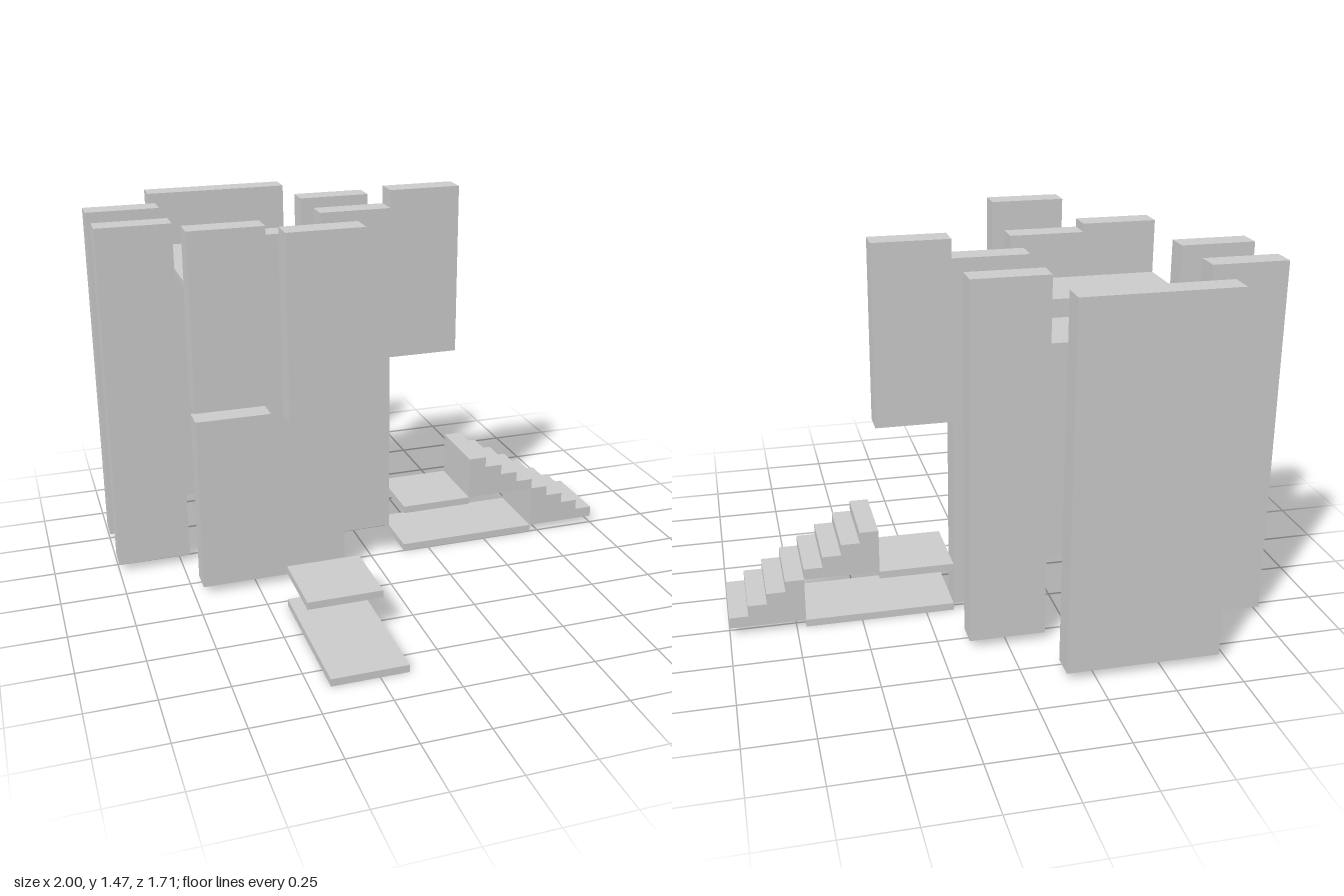
import * as THREE from 'three';

const U = 2 / 7;          // plan grid cell
const T = U / 3;          // wall thickness
const F = 0.029;          // floor plate thickness
const H = 0.686;          // wall panel height
const RISE = 0.0429;      // stair riser
const STEPS = 4;

const material = new THREE.MeshStandardMaterial({ color: 0xcccccc, flatShading: true });
const shellMaterial = new THREE.MeshStandardMaterial({
  color: 0xcccccc, flatShading: true, side: THREE.DoubleSide,
});

export function createModel() {
  const group = new THREE.Group();

  // Box between two corners
  const block = (name, x0, x1, y0, y1, z0, z1) => {
    const mesh = new THREE.Mesh(new THREE.BoxGeometry(x1 - x0, y1 - y0, z1 - z0), material);
    mesh.position.set((x0 + x1) / 2, (y0 + y1) / 2, (z0 + z1) / 2);
    mesh.name = name;
    group.add(mesh);
  };
  // Walls and plates are placed on the plan grid in units of U
  const wall = (name, i0, i1, k, y0, y1) =>
    block(name, (i0 - 0.5) * U, (i1 - 0.5) * U, y0, y1, k * U, k * U + T);
  const plate = (name, i0, i1, k0, k1, y) =>
    block(name, (i0 - 0.5) * U, (i1 - 0.5) * U, y, y + F, k0 * U, k1 * U);

  const top = F + 2 * H;

  // Full height walls
  wall('backWall', -2, 0, -3, F, top);
  for (const k of [-2, -1]) {
    wall('rightSideWall', -3, -2, k, F, top);
    wall('leftSideWall', 0, 1, k, F, top);
  }
  wall('frontWall', -1, 0, 0, F, top);

  // Split front wall, with a narrow gap between its panels
  wall('lowerFrontPanel', -2, -1, 0, F, F + H);
  wall('upperFrontPanel', -2, -1, 0, 0.75, 1.433);

  // Raised panels
  wall('floatingFrontPanel', -1, 0, 1, 0.786, 1.471);
  wall('floatingSidePanel', 1, 2, -1, 0.786, 1.471);

  // Upper floor, with one lower cell
  plate('upperFloorFront', -2, 0, -1, 0, 1.2);
  plate('upperFloorBack', -2, -1, -2, -1, 1.2);
  plate('sunkenFloor', -1, 0, -2, -1, 1.13);

  // Ground plates and low landings
  plate('frontGroundPlate', -1, 0, 1, 3, 0);
  plate('frontLanding', -1, 0, 1, 2, 0.14);
  plate('stairGroundPlate', 1, 3, -1, 0, 0);
  plate('stairLanding', 1, 2, -1, 0, F + STEPS * RISE - F);

  // Stair flights: stepped shells open underneath
  const flight = (name, x0, y0) => {
    const stair = new THREE.Group();
    stair.name = name;
    const run = U / STEPS;
    const outline = [[0, 0], [0, STEPS * RISE]];
    for (let s = 0; s < STEPS; s++) {
      const x = (s + 1) * run;
      outline.push([x, (STEPS - s) * RISE], [x, (STEPS - s - 1) * RISE]);
    }
    const points = outline.map(([x, y]) => new THREE.Vector2(x, y));
    // Side cheeks
    for (const z of [-U, 0]) {
      const cheek = new THREE.Mesh(new THREE.ShapeGeometry(new THREE.Shape(points)), shellMaterial);
      cheek.position.z = z;
      cheek.name = 'stairCheek';
      stair.add(cheek);
    }
    // End face, treads and risers
    for (let i = 0; i < points.length - 1; i++) {
      const a = points[i], b = points[i + 1];
      const upright = a.x === b.x;
      const plane = new THREE.PlaneGeometry(a.distanceTo(b), U);
      plane.rotateX(-Math.PI / 2);
      if (upright) plane.rotateZ(i === 0 ? Math.PI / 2 : -Math.PI / 2);
      const face = new THREE.Mesh(plane, shellMaterial);
      face.position.set((a.x + b.x) / 2, (a.y + b.y) / 2, -U / 2);
      face.name = i === 0 ? 'stairEnd' : upright ? 'riser' : 'tread';
      stair.add(face);
    }
    stair.position.set(x0, y0, 0);
    group.add(stair);
  };
  flight('upperStair', 1.5 * U, F + STEPS * RISE);
  flight('lowerStair', 2.5 * U, F);

  return group;
}
